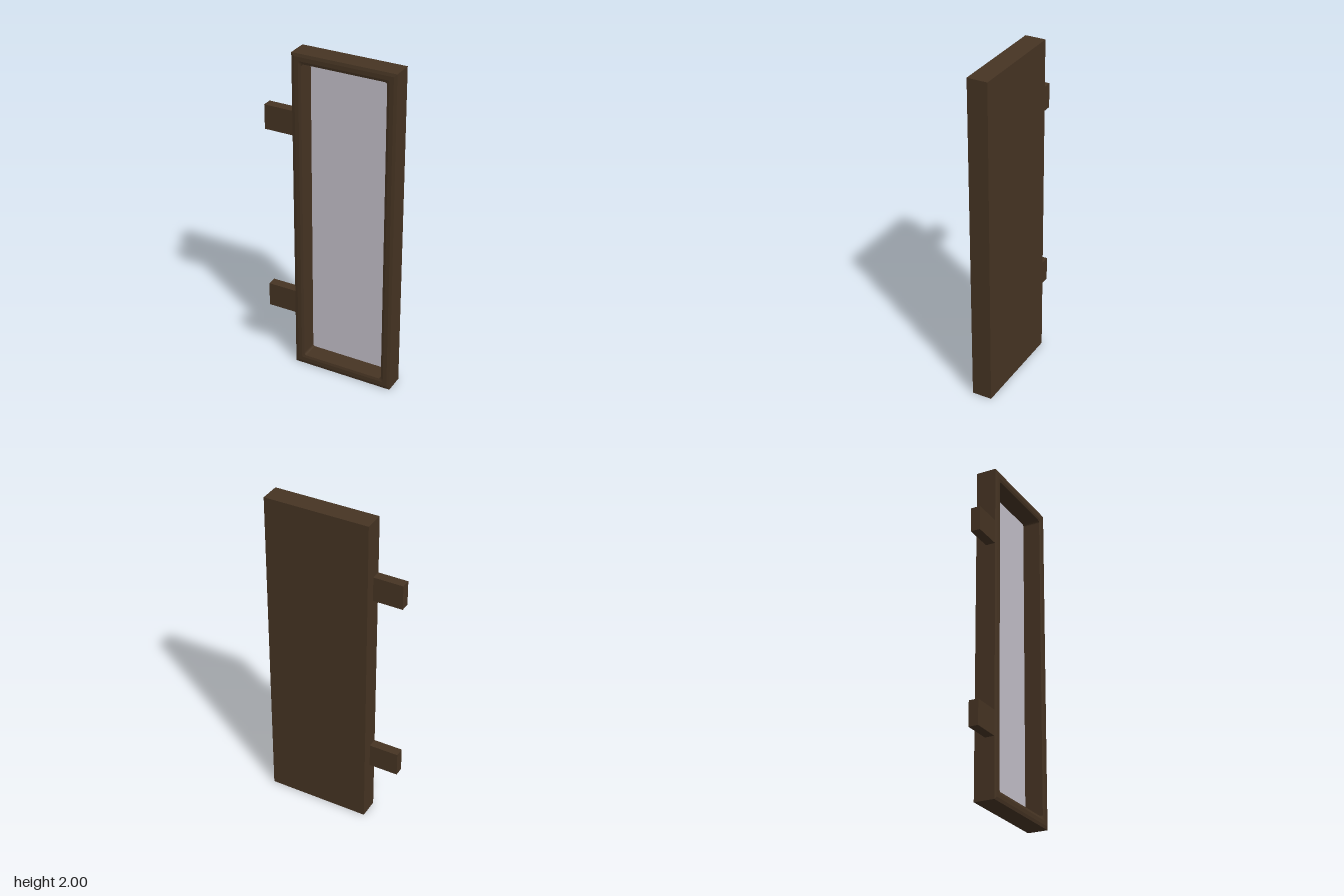
import * as THREE from 'three';

const CX = 0.088, CY = 1, W = 0.624, H = 2;

// Rectangular loop, counter-clockwise from the front, inset and with rounded corners
function loop(inset, z, r) {
  const hw = W / 2 - inset, hh = H / 2 - inset, steps = 4, pts = [];
  [[1, 1], [-1, 1], [-1, -1], [1, -1]].forEach(([sx, sy], q) => {
    for (let i = 0; i <= steps; i++) {
      const a = (q + i / steps) * Math.PI / 2;
      pts.push([CX + sx * (hw - r) + r * Math.cos(a), CY + sy * (hh - r) + r * Math.sin(a), z]);
    }
  });
  return pts;
}

// Skin a series of matching closed loops
function skin(loops) {
  const pos = [];
  for (let k = 0; k < loops.length - 1; k++) {
    const n = loops[k].length;
    for (let i = 0; i < n; i++) {
      const j = (i + 1) % n;
      const a = loops[k][i], b = loops[k][j], c = loops[k + 1][j], d = loops[k + 1][i];
      const same = (p, q) => Math.hypot(p[0] - q[0], p[1] - q[1], p[2] - q[2]) < 1e-6;
      if (!same(a, b)) pos.push(...a, ...b, ...c);
      if (!same(c, d)) pos.push(...a, ...c, ...d);
    }
  }
  const g = new THREE.BufferGeometry();
  g.setAttribute('position', new THREE.Float32BufferAttribute(pos, 3));
  g.computeVertexNormals();
  return g;
}

export function createModel() {
  const group = new THREE.Group();
  const wood = new THREE.MeshStandardMaterial({ name: 'dark brown', color: 0x463423 });
  const glass = new THREE.MeshStandardMaterial({ name: 'pale grey', color: 0xc3bfc9 });
  const add = (name, geometry, material, x, y, z) => {
    const mesh = new THREE.Mesh(geometry, material);
    mesh.name = name;
    mesh.position.set(x, y, z);
    group.add(mesh);
    return mesh;
  };

  // Frame with slightly bevelled front and a deep recess
  add('frame', skin([
    loop(0, -0.063, 0),
    loop(0, 0.058, 0),
    loop(0.018, 0.062, 0),
    loop(0.042, 0.062, 0.01),
    loop(0.057, 0.058, 0.014),
    loop(0.057, -0.05, 0.014),
  ]), wood, 0, 0, 0);

  // Closed back
  add('backPanel', new THREE.PlaneGeometry(W, H), wood, CX, CY, -0.063).rotation.y = Math.PI;

  // Pane at the bottom of the recess
  add('pane', new THREE.PlaneGeometry(W - 0.112, H - 0.112), glass, CX, CY, -0.05);

  // Two side brackets
  for (const [name, y] of [['lowerBracket', 0.422], ['upperBracket', 1.583]]) {
    add(name, new THREE.BoxGeometry(0.178, 0.148, 0.057), wood, -0.312, y, 0.0285);
  }
  return group;
}
